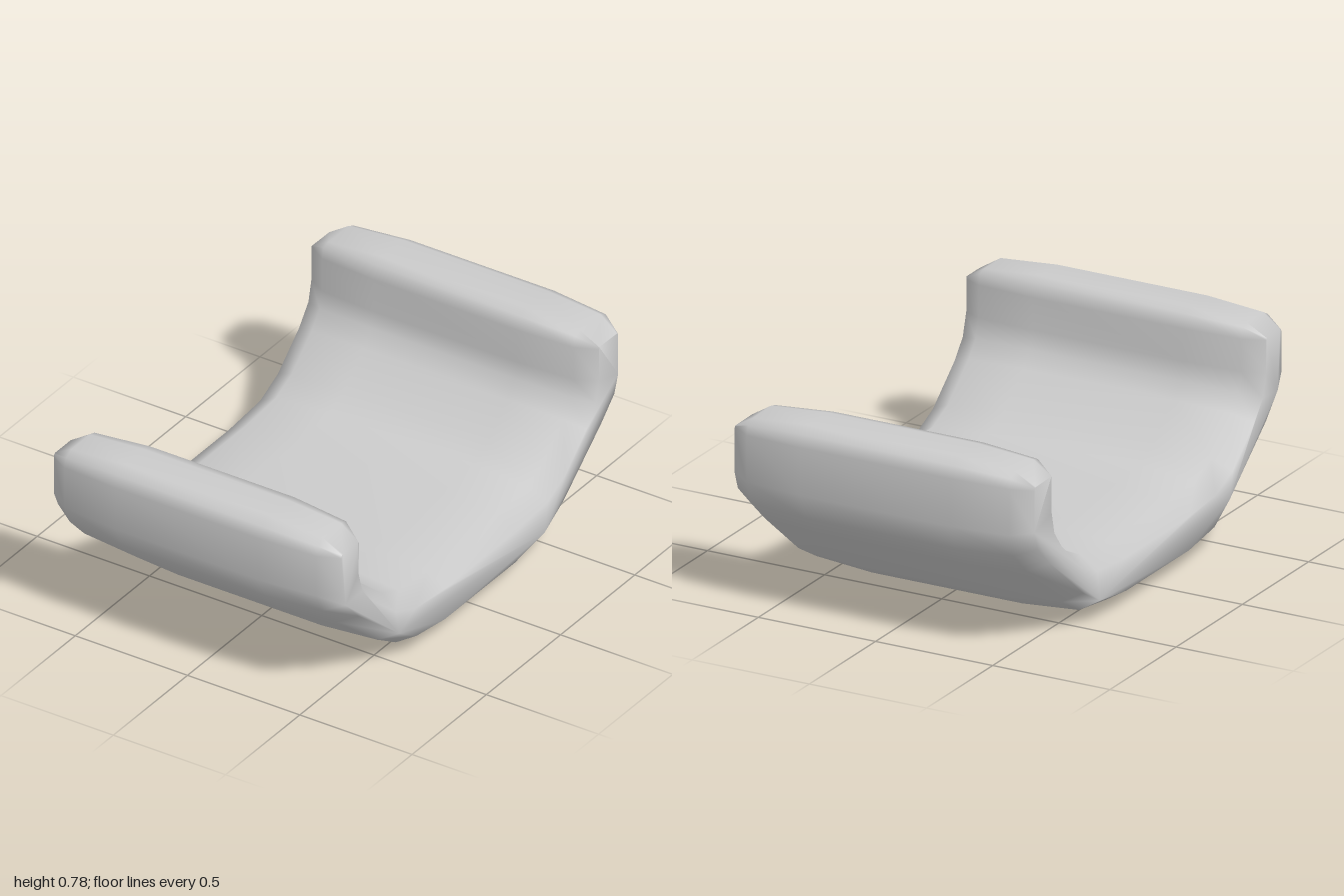
import * as THREE from 'three';

// Side outline as [z, y], running from the bottom up the front arm and back along the inside
const outline = [
  [0.24, 0], [0.45, 0.03], [0.58, 0.11], [0.86, 0.335], [0.96, 0.44], [1, 0.53],
  [1, 0.71], [0.985, 0.757], [0.94, 0.782], [0.81, 0.782], [0.765, 0.77], [0.75, 0.715],
  [0.75, 0.585], [0.73, 0.515], [0.68, 0.455], [0.53, 0.33], [0.42, 0.283], [0.23, 0.267],
  [-0.24, 0.267], [-0.44, 0.283], [-0.54, 0.33], [-0.67, 0.445], [-0.72, 0.51], [-0.735, 0.575],
  [-0.735, 0.715], [-0.75, 0.77], [-0.795, 0.782], [-0.94, 0.78], [-0.985, 0.757], [-1, 0.71],
  [-1, 0.52], [-0.965, 0.42], [-0.86, 0.32], [-0.6, 0.11], [-0.46, 0.03], [-0.24, 0],
].map(([z, y]) => new THREE.Vector2(z, y));

// Cross-sections over the width as [x, inset]
const sections = [
  [-0.64, 0.067], [-0.56, 0.018], [-0.32, 0], [0.32, 0], [0.56, 0.018], [0.64, 0.067],
];

// Moves every edge of the outline inward by the same distance
function insetOutline(points, distance) {
  const n = points.length;
  const edgeNormal = (a, b) => new THREE.Vector2(a.y - b.y, b.x - a.x).normalize();
  return points.map((p, i) => {
    const before = edgeNormal(points[(i + n - 1) % n], p);
    const after = edgeNormal(p, points[(i + 1) % n]);
    const scale = distance / (1 + before.dot(after));
    return p.clone().addScaledVector(before.add(after), scale);
  });
}

function createCradleGeometry() {
  const n = outline.length;
  const positions = [];
  const indices = [];
  for (const [x, inset] of sections) {
    for (const p of insetOutline(outline, inset)) positions.push(x, p.y, p.x);
  }

  // Skin between neighbouring cross-sections
  for (let s = 0; s < sections.length - 1; s++) {
    for (let i = 0; i < n; i++) {
      const j = (i + 1) % n;
      const a = s * n + i, b = a + n, c = s * n + j, d = c + n;
      indices.push(a, b, c, b, d, c);
    }
  }

  // Flat sides
  const last = (sections.length - 1) * n;
  const cap = THREE.ShapeUtils.triangulateShape(insetOutline(outline, sections[0][1]), []);
  for (const [a, b, c] of cap) indices.push(a, b, c, last + a, last + c, last + b);

  const geometry = new THREE.BufferGeometry();
  geometry.setAttribute('position', new THREE.Float32BufferAttribute(positions, 3));
  geometry.setIndex(indices);
  geometry.computeVertexNormals();
  return geometry;
}

export function createModel() {
  const group = new THREE.Group();
  group.name = 'cradle';
  const material = new THREE.MeshStandardMaterial({ color: 0xcccccc });
  const body = new THREE.Mesh(createCradleGeometry(), material);
  body.name = 'curvedBody';
  group.add(body);
  return group;
}
